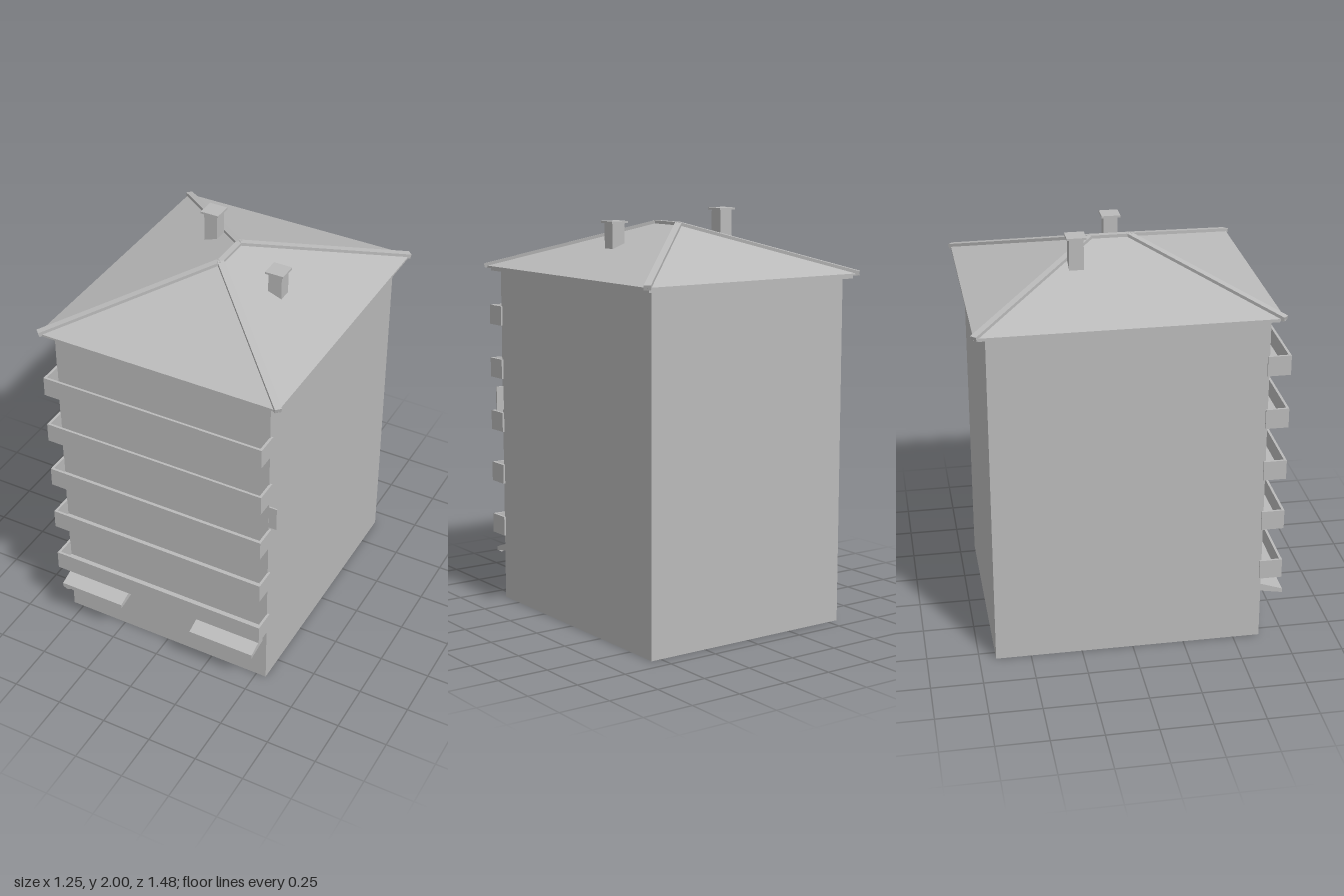
import * as THREE from 'three';

const grey = new THREE.MeshStandardMaterial({ color: 0xbababa, side: THREE.DoubleSide });
grey.name = 'plain grey';

function add(parent, name, geometry) {
  const mesh = new THREE.Mesh(geometry, grey);
  mesh.name = name;
  parent.add(mesh);
  return mesh;
}

// Box given by its limits on each axis
function box(parent, name, x0, x1, y0, y1, z0, z1) {
  const mesh = add(parent, name, new THREE.BoxGeometry(x1 - x0, y1 - y0, z1 - z0));
  mesh.position.set((x0 + x1) / 2, (y0 + y1) / 2, (z0 + z1) / 2);
  return mesh;
}

// Square bar laid from a to b
function bar(parent, name, a, b, width, height) {
  const mesh = add(parent, name, new THREE.BoxGeometry(width, height, a.distanceTo(b)));
  mesh.position.copy(a).add(b).multiplyScalar(0.5);
  mesh.lookAt(b);
}

function group(parent, name) {
  const g = new THREE.Group();
  g.name = name;
  parent.add(g);
  return g;
}

// Four outer walls, open underneath
function addWalls(model) {
  const tube = new THREE.CylinderGeometry(Math.SQRT1_2, Math.SQRT1_2, 1, 4, 1, true);
  tube.rotateY(Math.PI / 4).scale(1.105, 1.68, 1.3).translate(-0.002, 0.84, -0.02);
  const geometry = tube.toNonIndexed();
  geometry.computeVertexNormals();
  add(model, 'walls', geometry);
}

// Hipped roof with eaves and ridge caps
function addRoof(model) {
  const roof = group(model, 'roof');
  const X = 0.61, F = 0.68, B = -0.725, low = 1.7, high = 1.922, rf = 0.07, rb = -0.115;
  box(roof, 'cornice', -0.587, 0.587, 1.675, 1.692, -0.705, 0.662);
  box(roof, 'eaves', -X, X, 1.69, low, B, F);

  const v = (x, y, z) => new THREE.Vector3(x, y, z);
  const fl = v(X, low, F), fr = v(-X, low, F), bl = v(X, low, B), br = v(-X, low, B);
  const ridgeF = v(0, high, rf), ridgeB = v(0, high, rb);
  const faces = [
    fr, fl, ridgeF,
    bl, br, ridgeB,
    fl, bl, ridgeB, fl, ridgeB, ridgeF,
    br, fr, ridgeF, br, ridgeF, ridgeB,
  ];
  const slopes = new THREE.BufferGeometry().setFromPoints(faces);
  slopes.computeVertexNormals();
  add(roof, 'slopes', slopes);

  for (const corner of [fl, fr]) bar(roof, 'hipCap', corner, ridgeF, 0.032, 0.022);
  for (const corner of [bl, br]) bar(roof, 'hipCap', corner, ridgeB, 0.032, 0.022);
  bar(roof, 'ridgeCap', ridgeF, ridgeB, 0.028, 0.02);
}

function addChimney(model, x, z, bottom, top) {
  const g = group(model, 'chimney');
  box(g, 'shaft', x - 0.034, x + 0.034, bottom, top - 0.01, z - 0.034, z + 0.034);
  box(g, 'cap', x - 0.046, x + 0.046, top - 0.01, top, z - 0.046, z + 0.046);
}

// Long trough balcony with an open top
function addBalcony(model, y0, y1) {
  const g = group(model, 'balcony');
  const l = -0.564, r = 0.56, t = 0.012, back = 0.62, front = 0.73;
  box(g, 'floor', l, r, y0, y0 + t, back, front);
  box(g, 'frontRail', l, r, y0, y1, front - t, front);
  box(g, 'sideRail', l, l + t, y0, y1, back, front - t);
  box(g, 'sideRail', r - t, r, y0, y1, back, front - t);
}

// Sloping awning with closed sides and a scalloped front edge
function addAwning(model, x0, x1) {
  const g = group(model, 'awning');
  const extrude = (points, depth) => new THREE.ExtrudeGeometry(
    new THREE.Shape(points.map(([a, b]) => new THREE.Vector2(a, b))),
    { depth, bevelEnabled: false });
  const along = (name, points, right, depth) =>
    add(g, name, extrude(points, depth).rotateY(-Math.PI / 2).translate(right, 0, 0));

  along('canopy', [[0.628, 0.28], [0.628, 0.274], [0.745, 0.234], [0.745, 0.24]], x1, x1 - x0);
  const side = [[0.628, 0.278], [0.628, 0.24], [0.742, 0.22], [0.742, 0.238]];
  along('side', side, x0 + 0.004, 0.004);
  along('side', side, x1, 0.004);

  const edge = [[x1, 0.24], [x0, 0.24]];
  const steps = 56;
  for (let i = 0; i <= steps; i++) {
    const t = i / steps;
    edge.push([x0 + (x1 - x0) * t, 0.214 + 0.005 * Math.cos(t * Math.PI * 14)]);
  }
  add(g, 'valance', extrude(edge, 0.004).translate(0, 0, 0.741));
}

export function createModel() {
  const model = new THREE.Group();
  model.name = 'apartmentBuilding';

  addWalls(model);
  addRoof(model);
  addChimney(model, -0.185, -0.21, 1.8, 2);
  addChimney(model, 0.275, 0.025, 1.79, 1.94);

  const floors = [0.325, 0.595, 0.862, 1.132, 1.4];
  for (const y of floors) addBalcony(model, y, y + 0.097);

  addAwning(model, -0.535, -0.195);
  addAwning(model, 0.19, 0.53);

  // Small plate projecting from the front corner
  box(model, 'cornerPlate', 0.54, 0.59, 0.975, 1.095, 0.622, 0.629);
  return model;
}
